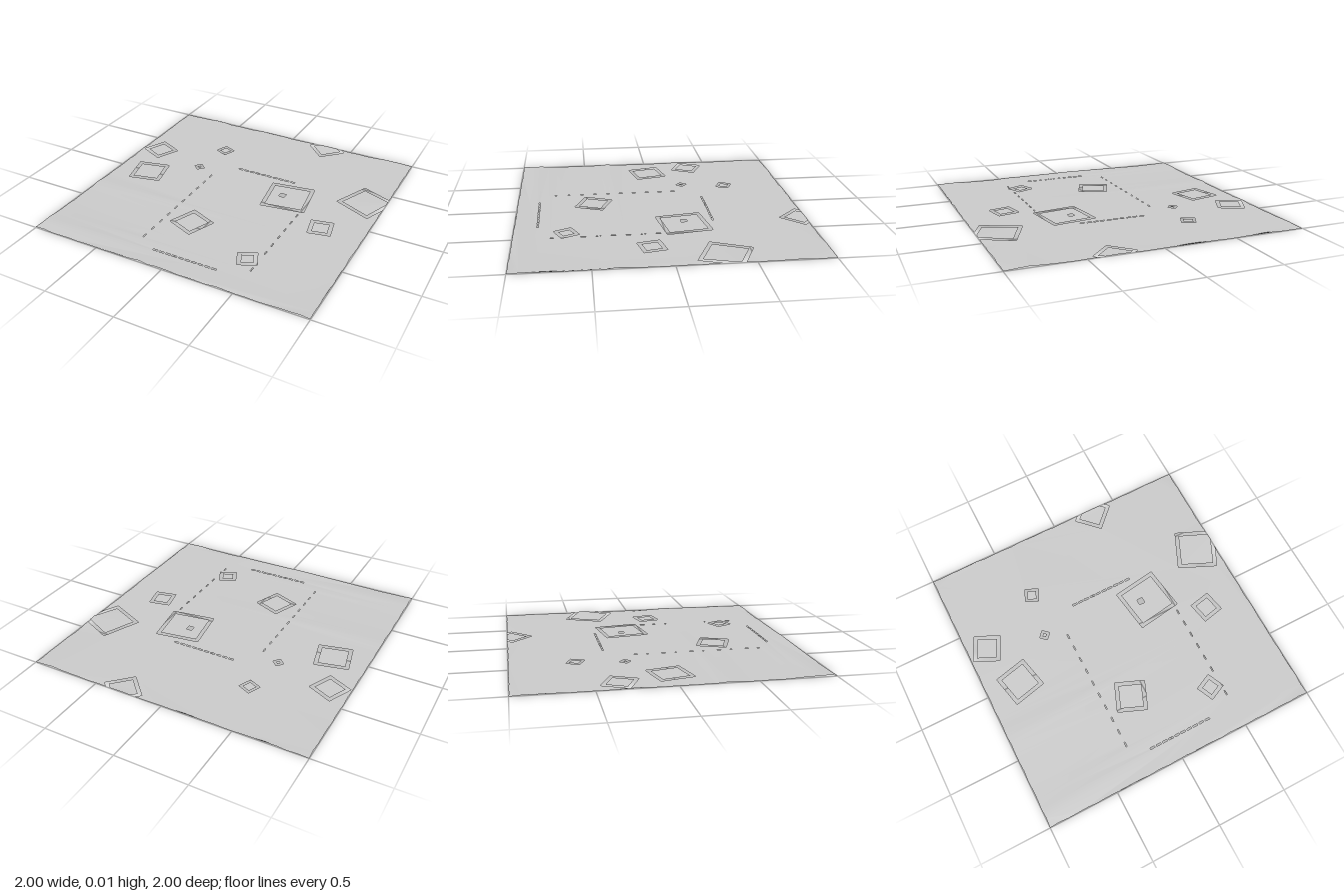
import * as THREE from 'three';

const BASE = 0.012, BAND = 0.024;
const material = new THREE.MeshStandardMaterial({ color: 0xcccccc, side: THREE.DoubleSide });

// Gentle rises and dips along each border: [position, height, half width]
const waves = {
  front: [[-0.97, 0.008, 0.08], [-0.1, 0.01, 0.25], [-0.12, -0.012, 0.04], [0.42, 0.006, 0.12], [0.9, 0.008, 0.2]],
  back: [[-0.7, 0.009, 0.14], [-0.2, 0.007, 0.2], [0.31, 0.005, 0.2], [0.85, 0.008, 0.2]],
  left: [[-0.85, 0.004, 0.2], [-0.28, 0.006, 0.1], [0.32, 0.007, 0.1], [0.9, 0.009, 0.25]],
  right: [[-0.75, 0.004, 0.2], [-0.36, 0.01, 0.14], [0.32, 0.008, 0.1], [0.8, 0.007, 0.22]],
};
const rise = (list, t) => list.reduce((sum, [p, h, w]) => {
  const d = Math.abs(t - p) / w;
  return d < 1 ? sum + h * (0.5 + 0.5 * Math.cos(Math.PI * d)) : sum;
}, 0);

function height(x, z) {
  const near = 0.99;
  if (z > near) return BASE + rise(waves.front, x);
  if (z < -near) return BASE + rise(waves.back, x);
  if (x < -near) return BASE + rise(waves.left, z);
  if (x > near) return BASE + rise(waves.right, z);
  return BASE;
}

// Turns an outline of [x, z] points with holes into a sheet
function sheet(name, outline, holes = []) {
  const toPoints = (list) => list.map(([x, z]) => new THREE.Vector2(x, -z));
  const shape = new THREE.Shape(toPoints(outline));
  shape.holes = holes.map((h) => new THREE.Path(toPoints(h)));
  const geometry = new THREE.ShapeGeometry(shape).rotateX(-Math.PI / 2);
  const pos = geometry.attributes.position;
  for (let i = 0; i < pos.count; i++) pos.setY(i, height(pos.getX(i), pos.getZ(i)));
  geometry.computeVertexNormals();
  const mesh = new THREE.Mesh(geometry, material);
  mesh.name = name;
  return mesh;
}

const rect = (x, z, w, d, degrees = 0) => {
  const a = degrees * Math.PI / 180, c = Math.cos(a), s = Math.sin(a);
  return [[-1, -1], [1, -1], [1, 1], [-1, 1]].map(([i, j]) => {
    const u = i * w / 2, v = j * d / 2;
    return [x + c * u - s * v, z + s * u + c * v];
  });
};

// Border points between two corners, slightly worn inward
function edge(x0, z0, x1, z1) {
  const points = [], n = Math.max(2, Math.round(Math.hypot(x1 - x0, z1 - z0) / 0.07));
  for (let i = 0; i < n; i++) {
    const t = i / n, worn = i ? 0.0025 * (1 + Math.sin(i * 2.3)) : 0;
    const x = x0 + (x1 - x0) * t, z = z0 + (z1 - z0) * t;
    points.push(x0 === x1 ? [x - Math.sign(x) * worn, z] : [x, z - Math.sign(z) * worn]);
  }
  return points;
}

export function createModel() {
  const model = new THREE.Group();
  model.name = 'cutSheet';

  // Square channels: x, z, side, angle
  const squares = [
    [-0.86, -0.337, 0.189, 25], [-0.396, -0.564, 0.097, 24], [-0.447, -0.238, 0.057, 42],
    [-0.752, -0.003, 0.236, -13], [0.34, -0.144, 0.318, -8.5], [0.697, 0.11, 0.157, -12],
    [-0.107, 0.452, 0.212, 22], [0.42, 0.65, 0.13, -25],
  ];
  const holes = [];
  squares.forEach(([x, z, side, angle], i) => {
    holes.push(rect(x, z, side, side, angle));
    const inner = side - 2 * (side < 0.1 ? 0.016 : BAND);
    // The largest panel has a small square opening
    const opening = i === 4 ? [rect(0.294, -0.152, 0.042, 0.042)] : [];
    model.add(sheet('squarePanel', rect(x, z, inner, inner, angle), opening));
  });

  // Dashed slits forming a rectangle
  for (let i = 0; i < 10; i++) {
    const x = -0.147 + i * 0.048, z = -0.15 + i * 0.0985;
    for (const row of [-0.352, 0.842]) holes.push(rect(x, row, 0.034, 0.011));
    holes.push(rect(-0.3, z, 0.007, 0.034));
    if (i > 1 && i !== 8) holes.push(rect(0.495, z, 0.007, 0.034));
  }

  // Outline, notched where two channels run off the back and right borders
  const outline = [
    ...edge(-1, -1, 0.199, -1),
    [0.199, -1], [0.165, -0.966], [0.31, -0.821], [0.455, -0.966],
    ...edge(0.421, -1, 1, -1),
    ...edge(1, -1, 1, -0.43),
    [1, -0.43], [0.788, -0.524], [0.671, -0.261], [0.934, -0.144],
    ...edge(1, -0.292, 1, 1),
    ...edge(1, 1, -1, 1),
    ...edge(-1, 1, -1, -1),
  ];
  model.add(sheet('mainSheet', outline, holes));

  // Panels left inside the two notches
  model.add(sheet('backPanel', [[0.231, -1], [0.31, -1], [0.389, -1], [0.423, -0.966], [0.31, -0.853], [0.197, -0.966]]));
  model.add(sheet('rightPanel', [[0.8, -0.492], [1, -0.403], [1, -0.352], [0.922, -0.176], [0.703, -0.273]]));
  return model;
}
